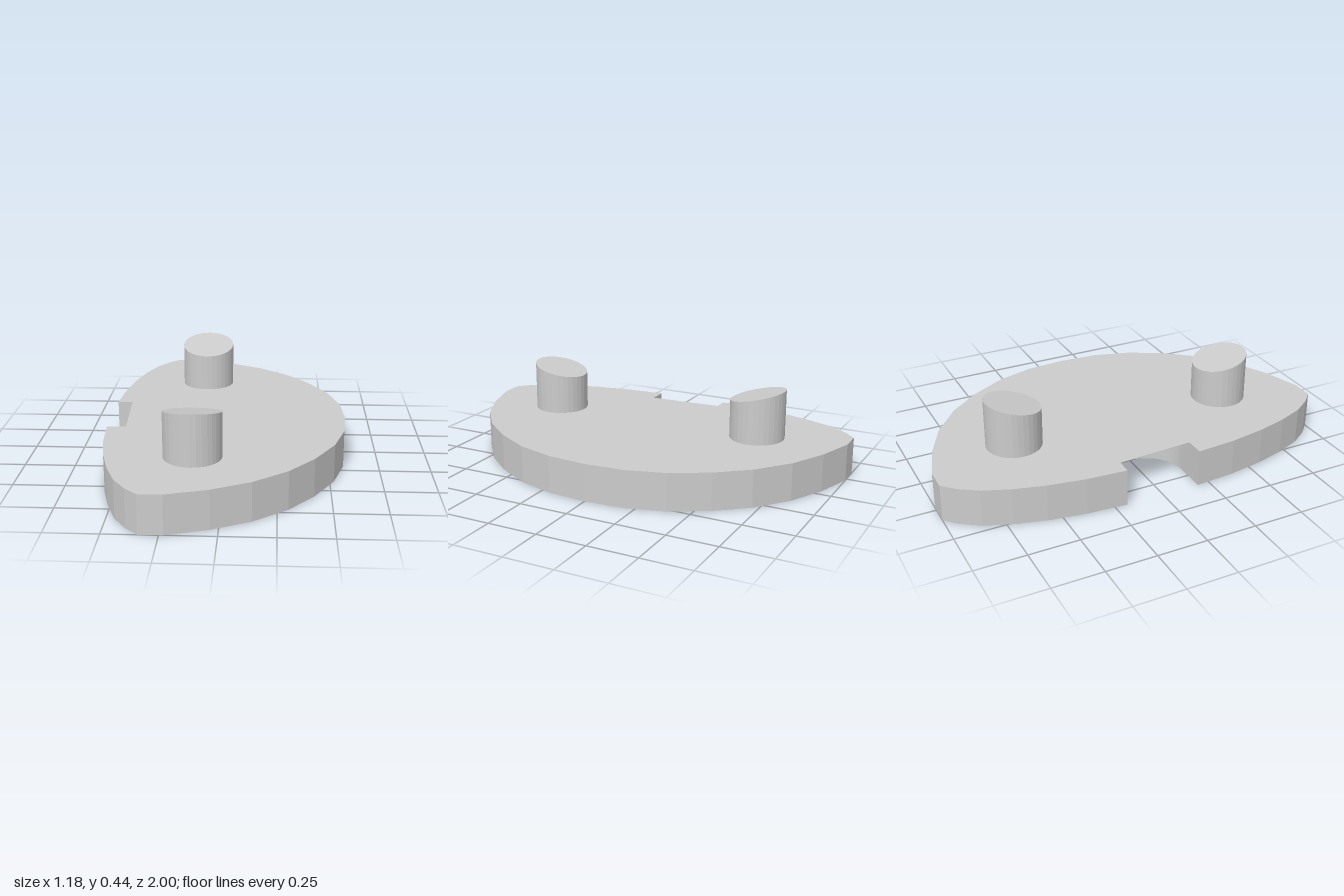
import * as THREE from 'three';

const PLATE_HEIGHT = 0.187;
const SLOT = { x: -0.44, r: 0.19 };

// Half outline of the plate, from the rounded nose to the slot mouth
const HALF = [
  [0.575, 0.2], [0.52, 0.39], [0.42, 0.57], [0.3, 0.72], [0.14, 0.85], [-0.04, 0.94], [-0.23, 1],
  [-0.34, 1], [-0.4, 0.94], [-0.46, 0.85], [-0.51, 0.72], [-0.55, 0.57], [-0.58, 0.39], [-0.595, SLOT.r],
];

// Rounded inner end of the slot
function slotEnd(shape) {
  shape.lineTo(SLOT.x, SLOT.r);
  shape.absarc(SLOT.x, 0, SLOT.r, Math.PI / 2, -Math.PI / 2, true);
}

export function createModel() {
  const group = new THREE.Group();
  const grey = new THREE.MeshStandardMaterial({ color: 0xcccccc, flatShading: true });
  const thin = new THREE.MeshStandardMaterial({ color: 0xcccccc, side: THREE.DoubleSide });

  const add = (name, geometry, material = grey) => {
    const mesh = new THREE.Mesh(geometry, material);
    mesh.name = name;
    group.add(mesh);
    return mesh;
  };

  // Plate with a U-shaped slot in its flatter side
  const outline = new THREE.Shape();
  outline.moveTo(0.59, 0);
  HALF.forEach(([x, y]) => outline.lineTo(x, y));
  slotEnd(outline);
  [...HALF].reverse().forEach(([x, y]) => outline.lineTo(x, -y));
  outline.closePath();
  const plate = new THREE.ExtrudeGeometry(outline, { depth: PLATE_HEIGHT, bevelEnabled: false, curveSegments: 16 });
  add('plate', plate.rotateX(-Math.PI / 2));

  // Thin sheet covering the inner part of the slot at the top
  const lip = new THREE.Shape();
  lip.moveTo(-0.52, SLOT.r);
  slotEnd(lip);
  lip.lineTo(-0.5, -SLOT.r);
  lip.closePath();
  const cover = add('slotCover', new THREE.ShapeGeometry(lip, 16).rotateX(-Math.PI / 2), thin);
  cover.position.y = PLATE_HEIGHT;

  // Two pins whose slanted tops fall towards the middle
  for (const side of [1, -1]) {
    const r = 0.137;
    const pin = new THREE.CylinderGeometry(r, r, 1, 32);
    const p = pin.attributes.position;
    for (let i = 0; i < p.count; i++) {
      const top = 0.406 + 0.031 * side * p.getZ(i) / r;
      p.setY(i, p.getY(i) > 0 ? top : PLATE_HEIGHT - 0.02);
    }
    pin.computeVertexNormals();
    add(side > 0 ? 'frontPin' : 'backPin', pin).position.set(-0.139, 0, 0.566 * side);
  }
  return group;
}
